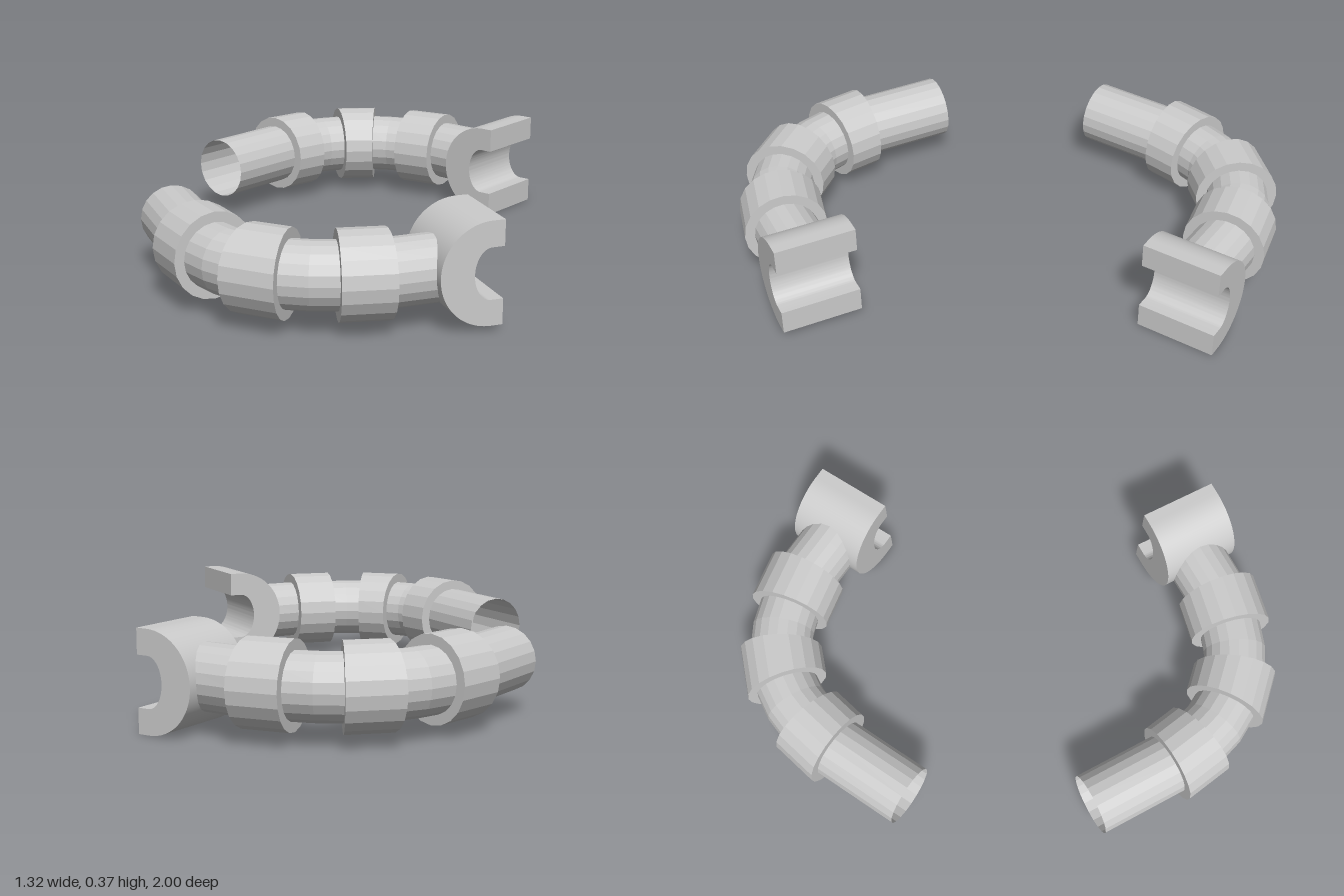
import * as THREE from 'three';
import { toCreasedNormals } from 'three/addons/utils/BufferGeometryUtils.js';

const TUBE_R = 0.115, COLLAR_R = 0.151, SIDES = 20, MID_Y = 0.187;

// Stations along the arm: x, z and heading in degrees
const path = [
  [-0.56, 0.328, 60], [-0.394, 0.602, 56], [-0.294, 0.72, 45], [-0.233, 0.773, 34],
  [-0.164, 0.812, 23], [-0.016, 0.85, 6], [0.062, 0.85, -5], [0.138, 0.835, -16.5],
  [0.294, 0.783, -22], [0.397, 0.722, -30], [0.465, 0.683, -30],
];

// Skin a list of rings [station, radius], each ring square to its heading
function loft(rings) {
  const pos = [], index = [];
  for (const [[x, z, deg], r] of rings) {
    const a = THREE.MathUtils.degToRad(deg);
    for (let j = 0; j < SIDES; j++) {
      const p = (j / SIDES) * Math.PI * 2, s = r * Math.cos(p);
      pos.push(x - Math.sin(a) * s, r * Math.sin(p), z + Math.cos(a) * s);
    }
  }
  for (let i = 0; i < rings.length - 1; i++) {
    for (let j = 0; j < SIDES; j++) {
      const k = (j + 1) % SIDES, a = i * SIDES, b = a + SIDES;
      index.push(a + j, b + j, a + k, a + k, b + j, b + k);
    }
  }
  const g = new THREE.BufferGeometry();
  g.setAttribute('position', new THREE.Float32BufferAttribute(pos, 3));
  g.setIndex(index);
  g.computeVertexNormals();
  return g;
}

// C-shaped claw profile pushed sideways
function clawGeometry() {
  const R = 0.1765, end = 0.218, w = 0.29;
  const s = new THREE.Shape();
  s.moveTo(end, R);
  s.lineTo(R, R);
  s.absarc(R, 0, R, Math.PI / 2, Math.PI * 1.5, false);
  s.lineTo(end, -R);
  s.lineTo(end, -0.088);
  s.lineTo(0.175, -0.088);
  s.absellipse(0.175, 0, 0.058, 0.088, Math.PI * 1.5, Math.PI / 2, true);
  s.lineTo(end, 0.088);
  s.closePath();
  const g = new THREE.ExtrudeGeometry(s, { depth: w, bevelEnabled: false, curveSegments: 24 });
  g.translate(0, 0, -w / 2);
  return toCreasedNormals(g, 0.6);
}

function createArm(name) {
  const arm = new THREE.Group();
  arm.name = name;
  const add = (part, geometry, options) => {
    const mesh = new THREE.Mesh(geometry, new THREE.MeshStandardMaterial({ color: 0xcccccc, ...options }));
    mesh.name = part;
    arm.add(mesh);
    return mesh;
  };

  // Bent tube, open at the shoulder
  add('armTube', loft(path.map((p) => [p, TUBE_R])), { flatShading: true, side: THREE.DoubleSide });

  // Raised collars with ring-shaped ends
  [[1, 2], [4, 5], [7, 8]].forEach(([a, b], i) => {
    const A = path[a], B = path[b], inner = TUBE_R - 0.005;
    add(`collar${i + 1}`, loft([[A, inner], [A, COLLAR_R], [B, COLLAR_R], [B, inner]]), { flatShading: true });
  });

  // Gripping hand
  const claw = add('clawHand', clawGeometry());
  claw.position.set(0.397, 0.01, 0.722);
  claw.rotation.y = Math.PI / 6;

  arm.position.y = MID_Y;
  return arm;
}

export function createModel() {
  const model = new THREE.Group();
  model.name = 'armPair';
  const front = createArm('frontArm');
  const back = createArm('backArm');
  back.rotation.x = Math.PI; // the second arm is the first turned over
  model.add(front, back);
  return model;
}
